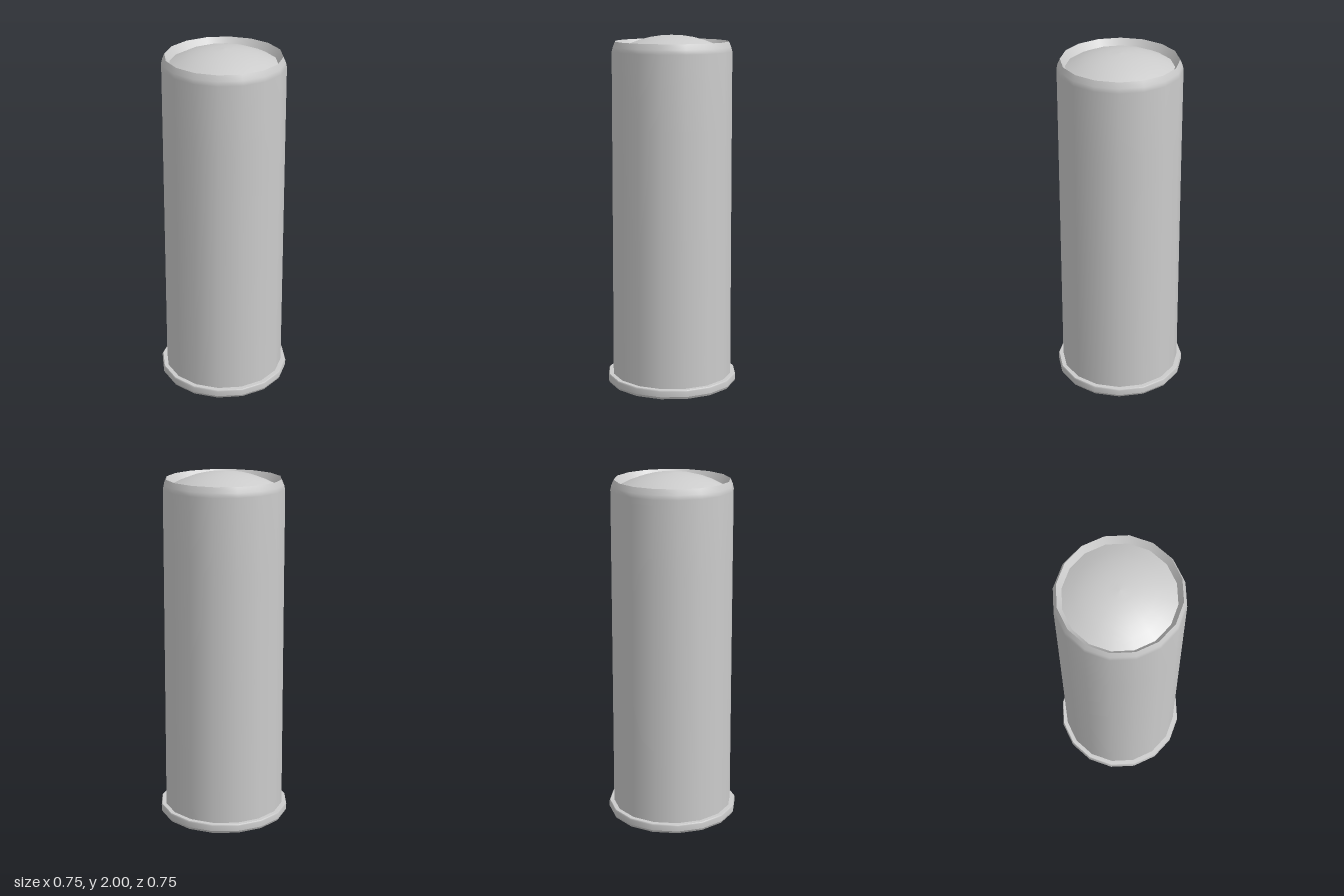
import * as THREE from 'three';

const SIDES = 16;

export function createModel() {
  const group = new THREE.Group();
  const material = new THREE.MeshStandardMaterial({ color: 0xcccccc });

  // Each profile is [radius, height], smooth within itself; profiles meet at hard edges.
  const addLathe = (name, profile) => {
    const points = profile.map(([r, y]) => new THREE.Vector2(r, y));
    const mesh = new THREE.Mesh(new THREE.LatheGeometry(points, SIDES), material);
    mesh.name = name;
    group.add(mesh);
  };

  // Base flange with small bevels
  addLathe('baseDisc', [[0, 0], [0.368, 0]]);
  addLathe('flangeLowerBevel', [[0.368, 0], [0.375, 0.014]]);
  addLathe('flangeEdge', [[0.375, 0.014], [0.375, 0.045], [0.37, 0.052]]);
  addLathe('flangeTop', [[0.37, 0.052], [0.346, 0.052]]);

  // Slightly tapered tube with a turned-in rim
  addLathe('tube', [[0.346, 0.052], [0.343, 0.9], [0.341, 1.5], [0.34, 1.91], [0.334, 1.935], [0.321, 1.965]]);
  addLathe('innerLip', [[0.321, 1.965], [0.295, 1.922]]);

  // Shallow domed cap, recessed at its edge
  const dome = [];
  const capRadius = 0.295, capHeight = 0.078;
  const sphereRadius = (capRadius ** 2 + capHeight ** 2) / (2 * capHeight);
  const capAngle = Math.asin(capRadius / sphereRadius);
  for (let i = 0; i <= 5; i++) {
    const a = capAngle * (1 - i / 5);
    dome.push([sphereRadius * Math.sin(a), 2 - sphereRadius * (1 - Math.cos(a))]);
  }
  addLathe('domedCap', dome);

  return group;
}
